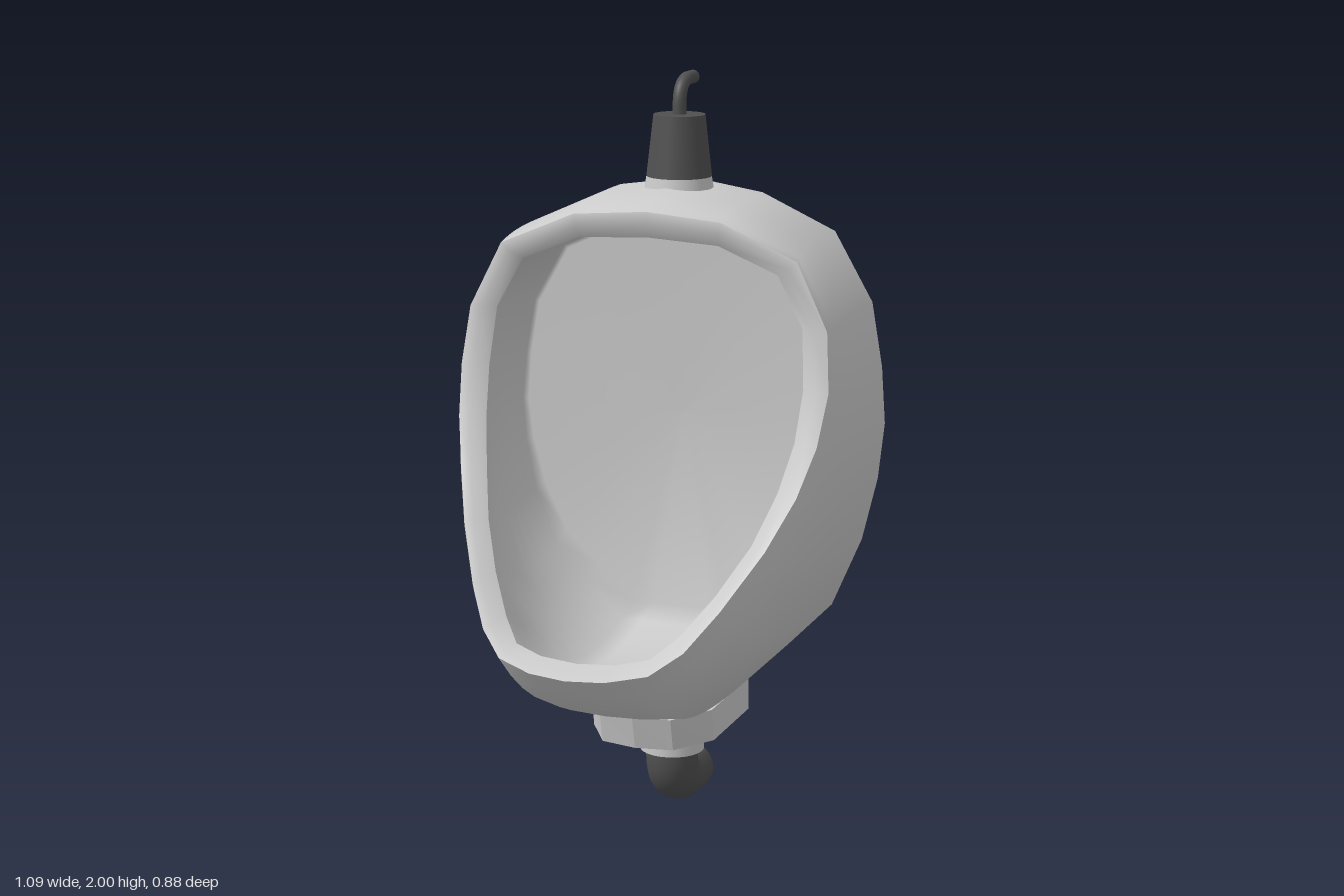
import * as THREE from 'three';

const grey = new THREE.MeshStandardMaterial({ color: 0xcccccc, side: THREE.DoubleSide });
const dark = new THREE.MeshStandardMaterial({ color: 0x505050, side: THREE.DoubleSide });
const BACK = -0.44;
const V = (x, y, z) => new THREE.Vector3(x, y, z);

// Half outlines from bottom centre, up the +x side, to top centre
const backEdge = [[0, 0.345], [0.1, 0.345], [0.17, 0.345], [0.29, 0.465], [0.41, 0.59], [0.49, 0.78],
  [0.53, 0.95], [0.546, 1.1], [0.535, 1.25], [0.505, 1.42], [0.4, 1.6], [0.2, 1.69], [0, 1.72]];
const rimOuter = [[0, 0.59, 0.437], [0.1, 0.594, 0.425], [0.2, 0.61, 0.385], [0.27, 0.66, 0.325],
  [0.335, 0.75, 0.245], [0.41, 0.88, 0.13], [0.46, 1, 0.04], [0.492, 1.12, -0.02], [0.505, 1.25, -0.068],
  [0.49, 1.4, -0.095], [0.405, 1.57, -0.105], [0.2, 1.657, -0.105], [0, 1.673, -0.105]];
const rimInner = [[0, 0.612, 0.36], [0.1, 0.617, 0.35], [0.18, 0.632, 0.32], [0.235, 0.68, 0.26],
  [0.3, 0.77, 0.18], [0.36, 0.88, 0.09], [0.4, 1, 0.01], [0.425, 1.12, -0.045], [0.433, 1.25, -0.085],
  [0.42, 1.4, -0.11], [0.35, 1.53, -0.12], [0.19, 1.595, -0.12], [0, 1.605, -0.12]];

// Completes a half outline by mirroring it
function ring(half) {
  const right = half.map(([x, y, z = BACK]) => V(x, y, z));
  return [...right, ...right.slice(1, -1).reverse().map(p => V(-p.x, p.y, p.z))];
}

// Smooth skin across rows; each row is a path, rows close into a loop
function skin(rows) {
  const n = rows.length, m = rows[0].length, index = [];
  for (let i = 0; i < n; i++) for (let j = 0; j < m - 1; j++) {
    const a = i * m + j, b = ((i + 1) % n) * m + j;
    index.push(a, b, b + 1, a, b + 1, a + 1);
  }
  const g = new THREE.BufferGeometry().setFromPoints(rows.flat());
  g.setIndex(index);
  g.computeVertexNormals();
  return g;
}

// Moves a point towards the middle of the bowl
const inset = (p, sx, syLow, syHigh, z) =>
  V(p.x * sx, 1.1 + (p.y - 1.1) * (p.y < 1.1 ? syLow : syHigh), z);

export function createModel() {
  const model = new THREE.Group();
  const add = (name, geometry, material = grey, x = 0, y = 0, z = 0) => {
    const mesh = new THREE.Mesh(geometry, material);
    mesh.name = name;
    mesh.position.set(x, y, z);
    model.add(mesh);
  };
  const back = ring(backEdge), outer = ring(rimOuter), inner = ring(rimInner);

  // Outer shell, rim and hollow bowl, built from one path per outline point
  const shell = [], rim = [], bowl = [], panel = [];
  back.forEach((b, i) => {
    const o = outer[i], n = inner[i], depth = o.z - BACK;
    const c1 = V(b.x, b.y, BACK + depth * 0.5);
    const c2 = b.clone().lerp(o, 0.15).setZ(o.z - depth * 0.22);
    const edge = inset(b, 0.985, 0.99, 0.99, BACK);
    shell.push([edge, ...new THREE.CubicBezierCurve3(V(b.x, b.y, BACK + 0.012), c1, c2, o).getPoints(10)]);

    const crest = o.clone().lerp(n, 0.45);
    crest.z += 0.012;
    rim.push([o, crest, n]);

    const w1 = inset(c2, 0.89, 0.88, 0.9, c2.z - 0.07);
    const w2 = inset(c1, 0.88, 0.86, 0.9, Math.max(c1.z - 0.08, -0.34));
    const end = inset(b, 0.82, 0.72, 0.84, -0.37);
    bowl.push([...new THREE.CubicBezierCurve3(n, w1, w2, end).getPoints(10), V(0, 1.1, -0.38)]);

    panel.push([V(0, 1.1, BACK), edge]);
  });
  add('shell', skin(shell));
  add('rim', skin(rim));
  add('bowl', skin(bowl));
  add('backPanel', skin(panel));

  // Tapered collar under the shell
  const plan = new THREE.Shape([[-0.172, 0.44], [0.172, 0.44], [0.172, 0.15], [0.1, 0.03], [0, 0.01],
    [-0.1, 0.03], [-0.172, 0.15]].map(([x, y]) => new THREE.Vector2(x, y)));
  const collar = new THREE.ExtrudeGeometry(plan, { depth: 0.09, bevelEnabled: false });
  collar.rotateX(-Math.PI / 2);
  const p = collar.attributes.position;
  for (let i = 0; i < p.count; i++) {
    const taper = p.getY(i) < 0.01 ? 0.95 : 1;
    p.setZ(i, BACK + (p.getZ(i) + 0.44) * taper);
  }
  // Plan was drawn with depth pointing backwards, so flip it to face front
  for (let i = 0; i < p.count; i++) p.setZ(i, Math.max(p.getZ(i), BACK));
  collar.computeVertexNormals();
  add('collar', collar, grey, 0, 0.26, 0);

  // Drain sleeve and open elbow
  add('drainSleeve', new THREE.CylinderGeometry(0.088, 0.088, 0.09, 24), grey, 0, 0.217, -0.305);
  const elbow = new THREE.CurvePath();
  elbow.add(new THREE.LineCurve3(V(0, 0.19, -0.305), V(0, 0.155, -0.305)));
  elbow.add(new THREE.QuadraticBezierCurve3(V(0, 0.155, -0.305), V(0, 0.075, -0.305), V(0, 0.075, -0.385)));
  elbow.add(new THREE.LineCurve3(V(0, 0.075, -0.385), V(0, 0.075, BACK)));
  add('drainElbow', new THREE.TubeGeometry(elbow, 20, 0.071, 20), dark);

  // Supply washer, tapered cap and bent pipe
  add('supplyWasher', new THREE.CylinderGeometry(0.085, 0.093, 0.05, 24), grey, 0, 1.715, -0.34);
  add('supplyCap', new THREE.CylinderGeometry(0.068, 0.086, 0.16, 24), dark, 0, 1.815, -0.34);
  const pipe = new THREE.CurvePath();
  pipe.add(new THREE.LineCurve3(V(0, 1.88, -0.34), V(0, 1.915, -0.34)));
  pipe.add(new THREE.QuadraticBezierCurve3(V(0, 1.915, -0.34), V(0, 1.982, -0.34), V(0, 1.982, -0.405)));
  pipe.add(new THREE.LineCurve3(V(0, 1.982, -0.405), V(0, 1.982, BACK)));
  add('supplyPipe', new THREE.TubeGeometry(pipe, 20, 0.018, 12), dark);
  return model;
}
